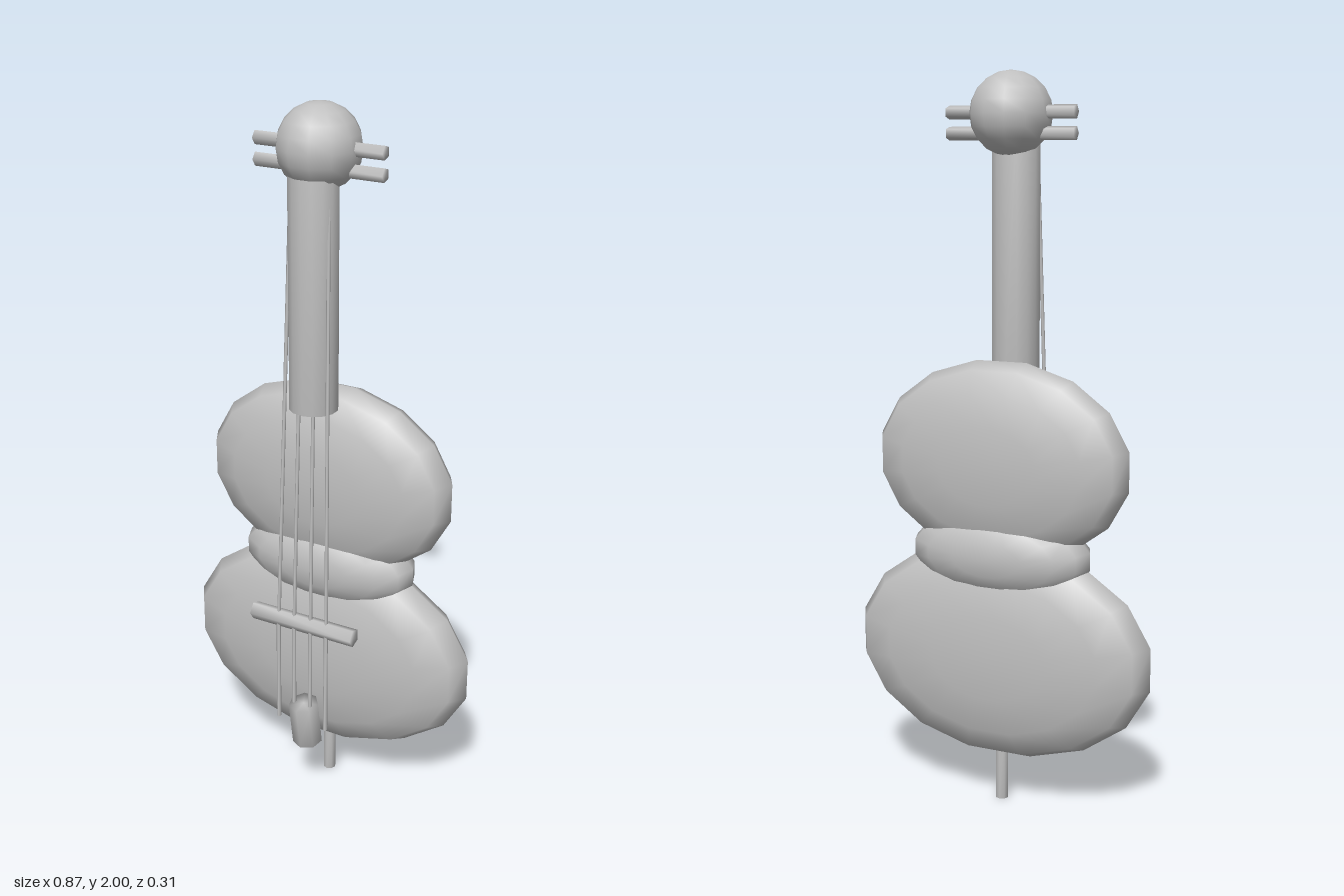
import * as THREE from 'three';
import { mergeVertices } from 'three/addons/utils/BufferGeometryUtils.js';

export function createModel() {
  const group = new THREE.Group();
  const grey = new THREE.MeshStandardMaterial({ color: 0xc0c0c0 });
  grey.name = 'grey';

  const add = (name, geometry, x = 0, y = 0, z = 0) => {
    const mesh = new THREE.Mesh(geometry, grey);
    mesh.name = name;
    mesh.position.set(x, y, z);
    group.add(mesh);
    return mesh;
  };

  // Cylinder whose shading runs smoothly over the rims
  const softCylinder = (radius, length, sides) => {
    const g = new THREE.CylinderGeometry(radius, radius, length, sides);
    g.deleteAttribute('normal');
    g.deleteAttribute('uv');
    const merged = mergeVertices(g);
    merged.computeVertexNormals();
    return merged;
  };

  // Straight rod between two points
  const rod = (name, a, b, radius, sides) => {
    const from = new THREE.Vector3(...a);
    const to = new THREE.Vector3(...b);
    const dir = to.clone().sub(from);
    const mesh = add(name, softCylinder(radius, dir.length(), sides));
    mesh.position.copy(from).add(to).multiplyScalar(0.5);
    mesh.quaternion.setFromUnitVectors(new THREE.Vector3(0, 1, 0), dir.normalize());
    return mesh;
  };

  // Cushion: a faceted ellipsoid with its poles front and back, slightly fuller in depth
  const cushion = (name, rx, ry, rz, y) => {
    const g = new THREE.SphereGeometry(1, 16, 8);
    g.rotateY(Math.PI / 16);
    g.rotateX(Math.PI / 2);
    const fit = 1 / Math.cos(Math.PI / 16);
    const normals = g.attributes.normal;
    const p = g.attributes.position;
    for (let i = 0; i < p.count; i++) {
      const x = p.getX(i), v = p.getY(i), z = p.getZ(i);
      p.setXYZ(i, x * rx * fit, v * ry * fit, Math.sign(z) * Math.abs(z) ** 0.8 * rz);
      // Smooth normals without a seam
      const n = new THREE.Vector3(x / rx, v / ry, Math.sign(z) * Math.abs(z) ** 1.2 / (0.8 * rz)).normalize();
      normals.setXYZ(i, n.x, n.y, n.z);
    }
    return add(name, g, 0, y, -0.044);
  };

  // Body
  cushion('lowerBody', 0.436, 0.303, 0.11, 0.438);
  cushion('waist', 0.26, 0.122, 0.11, 0.715);
  cushion('upperBody', 0.368, 0.272, 0.11, 0.968);

  // Neck and head
  add('neck', softCylinder(0.066, 0.62, 14), 0, 1.51, 0.047);
  const head = add('head', new THREE.SphereGeometry(0.112, 12, 10), 0, 1.888, 0.016);
  head.rotation.y = Math.PI / 12;

  // Tuning pegs pass through the head
  for (const y of [1.892, 1.837]) {
    rod('tuningPegs', [-0.185, y, 0.016], [0.185, y, 0.016], 0.019, 5);
  }

  // Bridge, tailpiece and end pin
  rod('bridge', [-0.16, 0.572, 0.108], [0.16, 0.572, 0.108], 0.026, 5);
  const tail = add('tailpiece', softCylinder(0.043, 0.137, 7), 0.002, 0.246, 0.103);
  tail.rotation.x = 0.16;
  rod('endPin', [0, 0, -0.043], [0, 0.2, -0.043], 0.018, 8);

  // Strings run from the neck over the bridge to the tailpiece
  for (const side of [-1, 1]) {
    for (const [low, high] of [[0.076, 0.055], [0.026, 0.018]]) {
      rod('upperString', [side * low, 0.573, 0.115], [side * high, 1.8, 0.066], 0.005, 6);
      rod('lowerString', [side * low, 0.25, 0.12], [side * low, 0.573, 0.117], 0.006, 6);
    }
  }

  return group;
}
